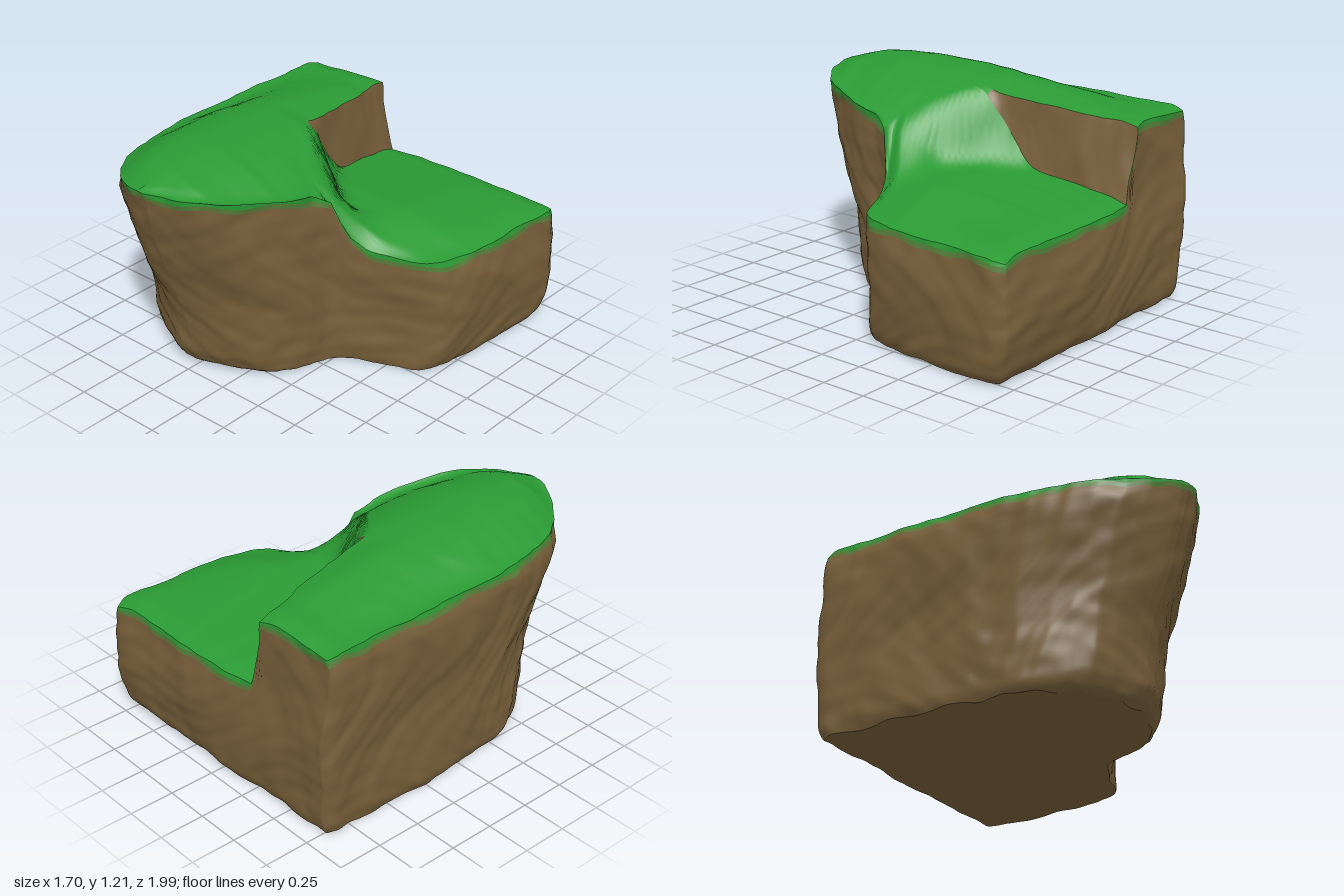
import * as THREE from 'three';

const clamp = (v) => Math.min(1, Math.max(0, v));
const lerp = THREE.MathUtils.lerp;
const smooth = THREE.MathUtils.smoothstep;

// piecewise interpolation through [position, value] pairs in rising order
function along(table, p) {
  if (p <= table[0][0]) return table[0][1];
  for (let i = 1; i < table.length; i++) {
    const [a, va] = table[i - 1], [b, vb] = table[i];
    if (p <= b) return lerp(va, vb, (p - a) / (b - a));
  }
  return table[table.length - 1][1];
}

// plan outline: left and right edge and cleft line, by z
const LEFT = [[-0.94, -0.8], [-0.88, -0.825], [0, -0.82], [0.35, -0.8], [0.55, -0.75], [0.68, -0.7],
  [0.8, -0.63], [0.88, -0.54], [0.94, -0.45], [0.975, -0.39], [0.99, -0.34]];
const RIGHT = [[-0.94, 0.77], [-0.88, 0.8], [-0.4, 0.785], [-0.2, 0.76], [-0.1, 0.73], [-0.03, 0.67], [0.03, 0.56],
  [0.08, 0.46], [0.15, 0.36], [0.22, 0.27], [0.3, 0.235], [0.45, 0.22], [0.58, 0.18], [0.7, 0.13],
  [0.8, 0.06], [0.88, -0.04], [0.93, -0.12], [0.97, -0.2], [0.99, -0.26]];
const CLEFT = [[-0.94, -0.325], [-0.8, -0.31], [-0.6, -0.26], [-0.4, -0.21], [-0.1, -0.17], [0.5, -0.2], [0.99, -0.3]];

// heights: plateau ridge and both rims, by z
const RIDGE = [[-0.94, 1.07], [-0.75, 1.08], [-0.5, 1.125], [-0.2, 1.17], [0.2, 1.2], [0.5, 1.21], [0.8, 1.19], [0.99, 1.14]];
const RIM_LEFT = [[-0.94, 1.05], [0.5, 1.06], [0.8, 1.07], [0.99, 1.13]];
const RIM_RIGHT = [[-0.94, 0.645], [0, 0.66], [0.12, 0.69], [0.18, 0.76], [0.215, 0.96], [0.32, 1.02], [0.5, 1.05], [0.7, 1.09], [0.99, 1.13]];

// how far the undercut nose reaches forward, by y
const NOSE = [[0, 0.64], [0.03, 0.69], [0.1, 0.73], [0.3, 0.755], [0.45, 0.79], [0.6, 0.845], [0.75, 0.9], [0.95, 0.975], [1.1, 1]];

function plateau(x, z) {
  const bend = lerp(0.12, 0.68, smooth(z, -0.9, -0.1));
  const dip = 0.035 * smooth(x, -0.45, -0.2) * smooth(-z, 0, 0.2);
  return along(RIDGE, z) - bend * (x + 0.35) ** 2 - dip;
}

// ground height; the right part ramps down from the plateau to the shelf
function ground(x, z, isRight) {
  let h = plateau(x, z);
  if (isRight) {
    const d = (x + 0.18) * 0.64 - (z + 0.1) * 0.77;
    const q = 0.75 * x + 0.65 * z;
    const shelf = 0.775 - 0.11 * clamp((-z - 0.25) / 0.7) - 0.05 * smooth(x, 0.3, 0.75) * smooth(z, -0.94, -0.4)
      - 0.07 * smooth(q, 0.15, 0.55);
    const t = clamp(d / (0.28 + 0.2 * smooth(q, 0.05, 0.3)));
    h = lerp(shelf, h, (1 - t) ** 3 * (1 + 3 * t));
  }
  const e = isRight ? along(RIGHT, z) - x : x - along(LEFT, z);
  const rim = along(isRight ? RIM_RIGHT : RIM_LEFT, z);
  h = lerp(h, rim, clamp(1 - e / (isRight ? 0.15 : 0.24)) ** 2);
  return h - 0.02 * clamp(1 - (z + 0.94) / 0.08);
}

// undercut, side bulge and lumpy rock
function lumps(u, v) {
  const a = u + 0.12 * Math.sin(5 * v + 1), b = v + 0.12 * Math.sin(6 * u);
  return 0.012 * Math.sin(8 * a + 1) * Math.sin(7 * b + 0.5) + 0.005 * Math.sin(17 * a + 3 * b) * Math.sin(21 * b + 1)
    + 0.003 * Math.sin(37 * a - 9 * b) * Math.sin(31 * b + 11 * a);
}
function place(x, y, z) {
  const bulge = Math.sin(Math.PI * clamp(y / 0.75));
  const foot = 1 - 0.03 * clamp(1 - y / 0.08) ** 2;
  const wide = x > 0 ? 1 + 0.06 * bulge : 0.985 + 0.04 * smooth(y, 0.4, 0.9) - 0.035 * smooth(y, 0.96, 1.06);
  const side = smooth(x, -0.5, 0.2);
  let pz = z > 0 ? z * along(NOSE, y) : z * foot * (1 + lerp(0.025, 0.05, side) * bulge);
  if (z < -0.5) pz += lerp(0.03, 0, side) * smooth(-z, 0.5, 0.94);
  return [x * foot * wide + lumps(y, z), y, pz + lumps(y + 0.7, x)];
}

// surface through rows of points
function skin(rows) {
  const n = rows[0].length, index = [];
  for (let i = 0; i < rows.length - 1; i++) {
    for (let j = 0; j < n - 1; j++) {
      const a = i * n + j, b = a + n;
      index.push(a, b, a + 1, b, b + 1, a + 1);
    }
  }
  const g = new THREE.BufferGeometry();
  g.setAttribute('position', new THREE.Float32BufferAttribute(rows.flat(2), 3));
  g.setIndex(index);
  g.computeVertexNormals();
  return g;
}

export function createModel() {
  const group = new THREE.Group();
  const material = (name, color) => new THREE.MeshStandardMaterial({ name, color, side: THREE.DoubleSide });
  const rock = material('brown rock', 0x78603a);
  const grass = material('green grass', 0x2a9a34);
  const moss = material('mossy edge', 0x547c38);
  const add = (name, rows, mat) => {
    const mesh = new THREE.Mesh(skin(rows), mat);
    mesh.name = name;
    group.add(mesh);
  };

  // plan grid, rows running back to front, split at the cleft
  const ROWS = 110, NL = 18, NR = 32;
  const leftRows = [], rightRows = [];
  for (let i = 0; i <= ROWS; i++) {
    const z = -0.94 + 1.93 * Math.sin((i / ROWS) * Math.PI / 2);
    const w = along(CLEFT, z), gap = 0.018 * clamp((1.05 - z) / 0.4);
    const row = (from, to, n, isRight) => Array.from({ length: n + 1 }, (_, j) => {
      const x = lerp(from, to, j / n);
      return [x, ground(x, z, isRight), z];
    });
    leftRows.push(row(along(LEFT, z), w - gap, NL, false));
    rightRows.push(row(w + gap + 0.05 * smooth(-z, 0.3, 0.9), along(RIGHT, z), NR, true));
  }
  const placed = (rows) => rows.map((r) => r.map((p) => place(...p)));

  // grassy ground
  add('plateauGrass', placed(leftRows), grass);
  add('shelfGrass', placed(rightRows), grass);

  // strip joining both parts: rock wall at the back, grass in front
  const strip = leftRows.map((r, i) => {
    const a = r[NL], b = rightRows[i][0];
    return [0, 0.1, 0.3, 0.5, 0.7, 0.9, 1].map((t) => [lerp(a[0], b[0], t), lerp(a[1], b[1], t), a[2]]);
  });
  const split = strip.findIndex((r) => r[0][2] > -0.12);
  add('cleftWall', placed(strip.slice(0, split + 1)), rock);
  add('ridgeGrass', placed(strip.slice(split)), grass);

  // outline loop: front tip, right side, back, left side
  const across = (i) => [...leftRows[i], ...strip[i].slice(1, -1), ...rightRows[i]];
  const rightSide = rightRows.map((r) => r[NR]).reverse().slice(1);
  const back = across(0).reverse().slice(1, -1);
  const loop = [...across(ROWS), ...rightSide, ...back, ...leftRows.map((r) => r[0])];
  const ring = (height) => loop.map(([x, y, z]) => place(x, height(y, x, z), z));
  const ragged = (x, z) => 0.008 * Math.sin(13 * (x - z)) + 0.005 * Math.sin(29 * (x + z));
  const mossTop = (y, x, z) => y - 0.02 + ragged(x, z);
  const rockTop = (y, x, z) => y - 0.045 + ragged(x, z);
  const bottom = (x, z) => 0.01 + 0.01 * Math.sin(19 * x + 2) * Math.sin(17 * z);

  // rock sides with a mossy, grassy rim; layers gather near the foot
  const layers = 44;
  const sides = Array.from({ length: layers + 1 }, (_, k) => ring((y, x, z) =>
    lerp(bottom(x, z), rockTop(y, x, z), (1 - k / layers) ** 1.3)));
  add('rockSides', sides, rock);
  add('mossyRim', [ring(mossTop), ring(rockTop)], moss);
  add('grassRim', [ring((y) => y), ring(mossTop)], grass);

  // underside
  const base = leftRows.map((_, i) => across(i).reverse().map(([x, , z]) => place(x, bottom(x, z), z)));
  add('underside', base, rock);
  return group;
}
